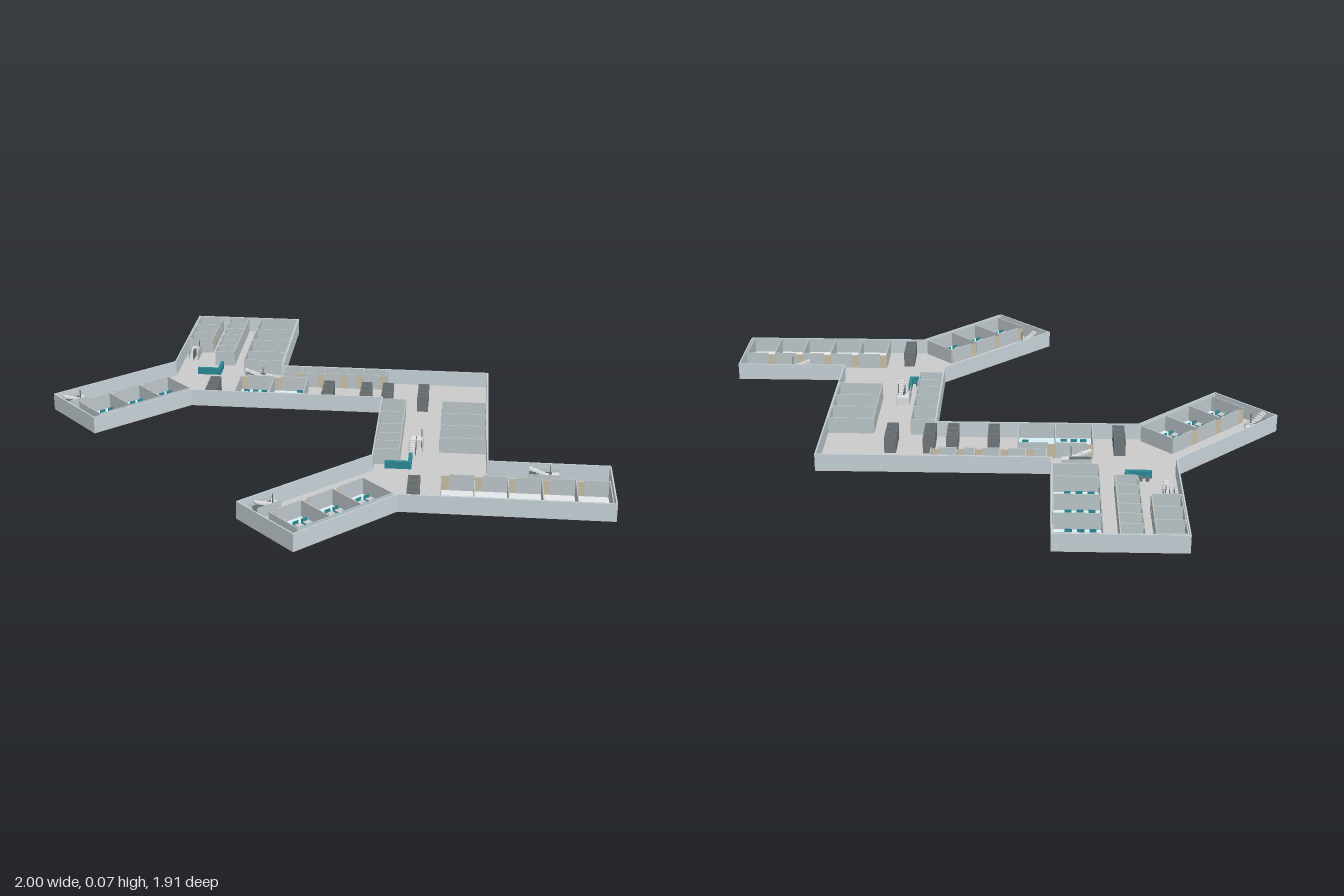
import * as THREE from 'three';

const H = 0.062, T = 0.005, FLOOR = 0.004; // wall height, wall thickness, slab height
const DEG = Math.PI / 180;
const mat = (color) => new THREE.MeshStandardMaterial({ color });
const M = {
  wall: mat(0xc6d2d8), partition: mat(0xbcc6ca), slab: mat(0xcacaca),
  blue: mat(0xdcf0f5), pale: mat(0xe4e8ea), lilac: mat(0xe0dce1), beige: mat(0xeee4d0),
  teal: mat(0x2a8a95), white: mat(0xffffff), door: mat(0xc8bda6), stair: mat(0xdee0e2), dark: mat(0x70777a),
};

// outline of the storey as [x, z]
const OUTLINE = [
  [-0.618, -0.957], [-0.195, -0.957], [-0.195, -0.425], [0.595, -0.425], [0.595, 0.37], [1, 0.37],
  [1, 0.655], [0.308, 0.655], [0.01, 0.957], [-0.195, 0.755], [0.205, 0.36], [0.205, -0.142],
  [-0.503, -0.142], [-0.8, 0.15], [-1, -0.052], [-0.618, -0.425],
];

// move every edge inwards by t, with mitred corners
function inset(pts, t) {
  const n = pts.length;
  const normal = (i) => {
    const a = pts[i % n], b = pts[(i + 1) % n], l = Math.hypot(b[0] - a[0], b[1] - a[1]);
    return [-(b[1] - a[1]) / l, (b[0] - a[0]) / l];
  };
  return pts.map(([x, z], i) => {
    const p = normal(i + n - 1), q = normal(i), k = t / (1 + p[0] * q[0] + p[1] * q[1]);
    return [x + k * (p[0] + q[0]), z + k * (p[1] + q[1])];
  });
}

const toPoints = (pts) => pts.map(([x, z]) => new THREE.Vector2(x, -z));

function extrude(parent, name, shape, depth, material) {
  const geo = new THREE.ExtrudeGeometry(shape, { depth, bevelEnabled: false });
  geo.rotateX(-Math.PI / 2);
  const mesh = new THREE.Mesh(geo, material);
  mesh.name = name;
  parent.add(mesh);
}

// box standing on height y
function box(parent, name, w, h, d, x, y, z, material) {
  const mesh = new THREE.Mesh(new THREE.BoxGeometry(w, h, d), material);
  mesh.position.set(x, y + h / 2, z);
  mesh.name = name;
  parent.add(mesh);
}

function group(parent, name, x, z, deg = 0) {
  const g = new THREE.Group();
  g.name = name;
  g.position.set(x, 0, z);
  g.rotation.y = deg * DEG;
  parent.add(g);
  return g;
}

// desk with a seat on both sides
function desk(parent, x, z, deg) {
  const g = group(parent, 'desk', x, z, deg);
  box(g, 'deskTop', 0.024, 0.003, 0.022, 0, 0.02, 0, M.white);
  box(g, 'deskLeg', 0.006, 0.015, 0.006, 0, 0.005, 0, M.dark);
  for (const s of [-1, 1]) {
    box(g, 'seat', 0.022, 0.012, 0.011, 0, 0.005, s * 0.016, M.teal);
    box(g, 'seatBack', 0.022, 0.012, 0.003, 0, 0.017, s * 0.02, M.teal);
  }
}

// row of rooms along local x, with the doors on local +z
function roomRow(parent, name, { x, z, len, depth, deg, cuts, floor, fill }) {
  const g = group(parent, name, x, z, deg);
  const h = H - FLOOR, edges = [0, ...cuts, 1].map((c) => (c - 0.5) * len);
  box(g, 'roomFloor', len, 0.001, depth, 0, FLOOR, 0, floor);
  box(g, 'backWall', len, h, T * 0.7, 0, FLOOR, -depth / 2, M.partition);
  edges.forEach((e) => box(g, 'sideWall', T * 0.7, h, depth, e, FLOOR, 0, M.partition));
  for (let i = 0; i + 1 < edges.length; i++) {
    const a = edges[i], w = edges[i + 1] - a, dw = Math.min(0.026, w * 0.4), fw = w - dw;
    box(g, 'frontWall', fw, h, T * 0.7, a + fw / 2, FLOOR, depth / 2, M.partition);
    box(g, 'door', dw, h - 0.006, T * 0.5, a + w - dw / 2, FLOOR, depth / 2, M.door);
    if (fill) fill(g, a + w / 2, w, i);
  }
}

// two parallel flights with a landing, long side on local x
function stairs(parent, x, z, deg, len = 0.1, wid = 0.046) {
  const g = group(parent, 'stairs', x, z, deg), n = 7, run = (len * 0.75) / n, rise = 0.0042;
  const x0 = -len / 2, fw = wid * 0.42;
  box(g, 'landing', len * 0.25, n * rise, wid, len * 0.375, FLOOR, 0, M.stair);
  for (let i = 0; i < n; i++) {
    const px = x0 + run * (i + 0.5);
    box(g, 'lowerStep', run, rise * (i + 1), fw, px, FLOOR, -wid * 0.27, M.stair);
    box(g, 'upperStep', run, rise * 1.5, fw, px, FLOOR + rise * (2 * n - 1.5 - i), wid * 0.27, M.stair);
  }
  box(g, 'middleRail', len * 0.75, 0.04, 0.002, -len * 0.125, FLOOR, 0, M.dark);
  for (const s of [-1, 1]) box(g, 'sideRail', len, 0.04, 0.002, 0, FLOOR, s * wid / 2, M.partition);
  box(g, 'post', 0.003, 0.07, 0.003, len * 0.18, FLOOR, wid * 0.4, M.dark);
}

// enclosed booth: four walls around a teal bench
function booth(parent, x, z) {
  const g = group(parent, 'booth', x, z), h = H - FLOOR;
  for (const s of [-1, 1]) {
    box(g, 'boothSide', 0.04, h, 0.003, 0, FLOOR, s * 0.0165, M.dark);
    box(g, 'boothEnd', 0.003, h, 0.03, s * 0.0185, FLOOR, 0, M.dark);
  }
  box(g, 'boothBench', 0.034, 0.035, 0.03, 0, FLOOR, 0, M.teal);
}

// L-shaped counter with stools
function counter(parent, x, z) {
  const g = group(parent, 'receptionCounter', x, z);
  box(g, 'counterLong', 0.09, 0.026, 0.012, -0.045, FLOOR, 0, M.teal);
  box(g, 'counterShort', 0.012, 0.026, 0.07, -0.006, FLOOR, -0.04, M.teal);
  for (let i = 0; i < 3; i++) {
    const stool = new THREE.Mesh(new THREE.CylinderGeometry(0.006, 0.006, 0.016, 10), M.dark);
    stool.name = 'stool';
    stool.position.set(-0.03 - i * 0.022, FLOOR + 0.008, -0.026);
    g.add(stool);
  }
}

const desksAlong = (g, cx) => [-1, 0, 1].forEach((k) => desk(g, cx + k * 0.034, 0, 0));
const desksAcross = (g, cx) => [-1, 0, 1].forEach((k) => desk(g, cx, 0.01 + k * 0.038, 90));
const smallTable = (g, cx) => {
  box(g, 'tableTop', 0.02, 0.004, 0.036, cx, 0.02, 0, M.white);
  box(g, 'tableLeg', 0.006, 0.016, 0.008, cx, FLOOR, 0, M.dark);
};

export function createModel() {
  const root = new THREE.Group();
  root.name = 'officeFloor';

  // floor slab and outer wall
  extrude(root, 'floorSlab', new THREE.Shape(toPoints(OUTLINE)), FLOOR, M.slab);
  const ring = new THREE.Shape(toPoints(OUTLINE));
  ring.holes.push(new THREE.Path(toPoints(inset(OUTLINE, T)).reverse()));
  extrude(root, 'outerWall', ring, H, M.wall);

  // back wing
  roomRow(root, 'storeRooms', { x: -0.562, z: -0.815, len: 0.265, depth: 0.095, deg: 90, cuts: [0.33, 0.66], floor: M.lilac });
  roomRow(root, 'smallOffices', { x: -0.443, z: -0.75, len: 0.4, depth: 0.075, deg: -90,
    cuts: [1, 2, 3, 4, 5].map((i) => i / 6), floor: M.lilac });
  roomRow(root, 'backMeetingRooms', { x: -0.278, z: -0.757, len: 0.385, depth: 0.152, deg: -90,
    cuts: [1 / 3, 2 / 3], floor: M.blue, fill: desksAcross });
  roomRow(root, 'lounge', { x: -0.278, z: -0.517, len: 0.095, depth: 0.152, deg: -90, cuts: [], floor: M.beige,
    fill: (g, cx) => {
      box(g, 'loungeTable', 0.014, 0.015, 0.045, cx + 0.006, FLOOR, 0, M.white);
      for (let i = -1.5; i < 2; i++) box(g, 'loungeStool', 0.01, 0.012, 0.01, cx - 0.018, FLOOR, i * 0.028, M.dark);
    } });

  // middle wing
  roomRow(root, 'middleOffices', { x: 0.013, z: -0.387, len: 0.39, depth: 0.06, deg: 0,
    cuts: [0.18, 0.4, 0.62, 0.78], floor: M.lilac });
  roomRow(root, 'middleMeetingRooms', { x: -0.213, z: -0.227, len: 0.255, depth: 0.16, deg: 180, cuts: [0.5], floor: M.blue,
    fill: (g, cx, w, i) => (i ? desksAlong(g, cx) : desk(g, cx - 0.04, 0.01, 0)) });

  // right wing
  roomRow(root, 'innerOffices', { x: 0.252, z: 0.09, len: 0.44, depth: 0.087, deg: 90,
    cuts: [0.16, 0.31, 0.49, 0.74], floor: M.lilac });
  roomRow(root, 'outerOffices', { x: 0.508, z: 0.035, len: 0.32, depth: 0.16, deg: -90,
    cuts: [1 / 3, 2 / 3], floor: M.pale, fill: smallTable });
  roomRow(root, 'frontOffices', { x: 0.715, z: 0.57, len: 0.545, depth: 0.16, deg: 180,
    cuts: [0.2, 0.4, 0.6, 0.8], floor: M.pale });

  // two identical slanted wings
  for (const [dx, dz] of [[0, 0], [0.805, 0.806]]) {
    roomRow(root, 'slantedMeetingRooms', { x: -0.7 + dx, z: -0.075 + dz, len: 0.385, depth: 0.145, deg: -135,
      cuts: [1 / 3, 2 / 3], floor: M.blue, fill: desksAlong });
    stairs(root, -0.93 + dx * 1.02, -0.072 + dz * 0.975, 45, 0.095);
  }

  // staircases of the straight wings
  stairs(root, -0.577, -0.63, 90, 0.088, 0.036);
  stairs(root, -0.283, -0.38, 0);
  stairs(root, 0.347, 0.178, 90);
  stairs(root, 0.78, 0.402, 0);

  // booths in the open areas
  for (const x of [-0.433, 0, 0.142, 0.222, 0.355]) for (const z of [-0.268, -0.222, -0.176]) booth(root, x, z);
  for (const z of [0.525, 0.568, 0.611]) booth(root, 0.355, z);

  counter(root, -0.443, -0.45);
  counter(root, 0.338, 0.337);
  return root;
}
